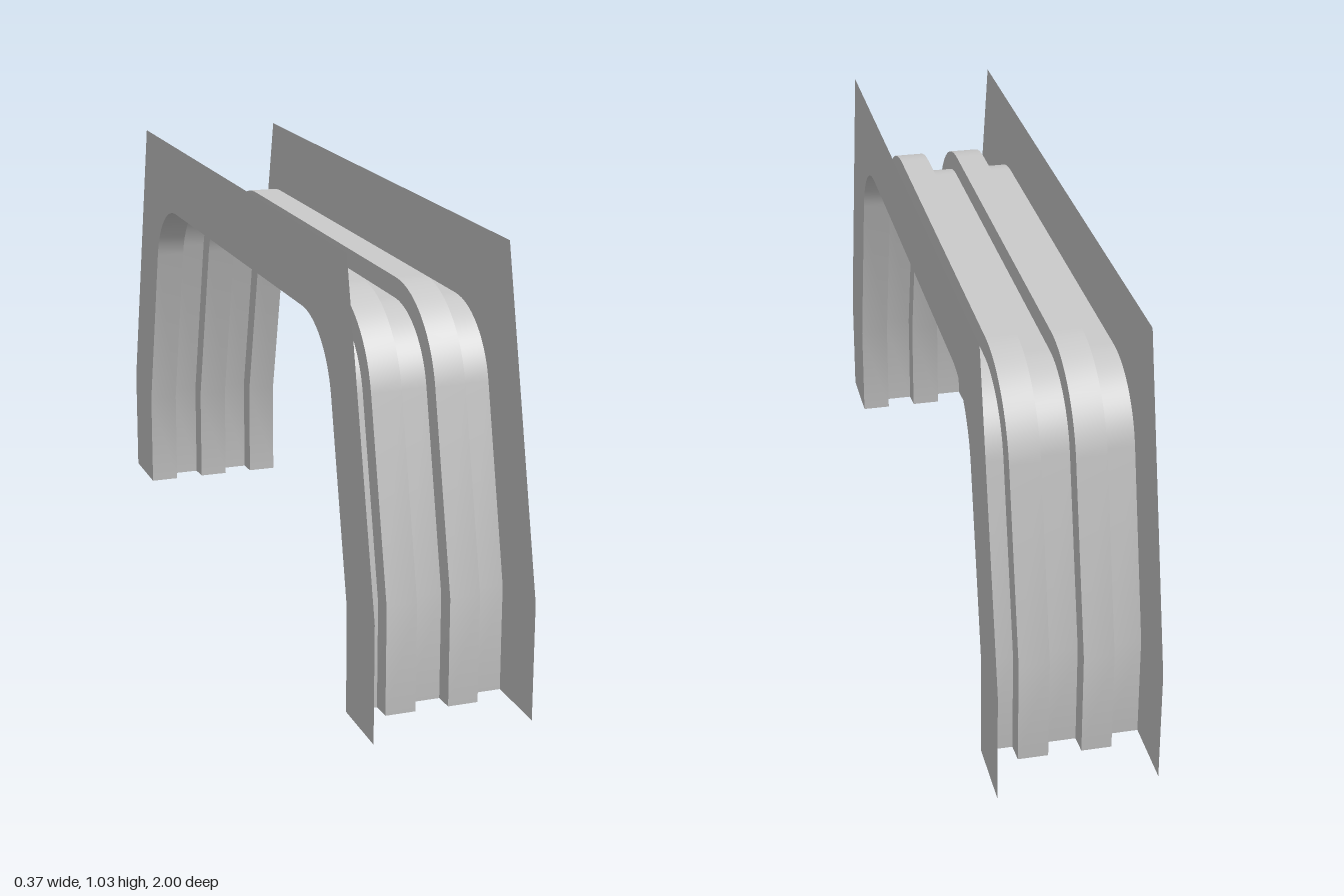
import * as THREE from 'three';

const HALF_WIDTH = 0.185;
const RIB = 0.047;

// Inner arch line as (z, y) points, from the front foot over the top to the back foot
function archPath() {
  const foot = new THREE.Vector2(0.828, 0);
  const knee = new THREE.Vector2(0.828, 0.25);
  const corner = new THREE.Vector2(0.685, 0.853);
  const t = 0.16;
  const start = corner.clone().add(knee.clone().sub(corner).setLength(t));
  const end = new THREE.Vector2(corner.x - t, corner.y);
  const bend = new THREE.CubicBezierCurve(
    start, start.clone().lerp(corner, 0.585), end.clone().lerp(corner, 0.585), end);
  const half = [foot, knee, ...bend.getPoints(14)];
  return [...half, ...half.map(p => new THREE.Vector2(-p.x, p.y)).reverse()];
}

// Outward mitred offset of an open path
function offsetPath(path, d) {
  const normal = i => {
    const s = path[i + 1].clone().sub(path[i]).normalize();
    return new THREE.Vector2(s.y, -s.x);
  };
  return path.map((p, i) => {
    const a = normal(Math.max(i - 1, 0));
    const b = normal(Math.min(i, path.length - 2));
    const m = a.clone().add(b).normalize();
    return p.clone().addScaledVector(m, d / m.dot(a));
  });
}

// Smooth band swept along the arch between two section points [x, offset]
function band(path, [xa, da], [xb, db]) {
  const pa = offsetPath(path, da), pb = offsetPath(path, db);
  const pos = [], index = [];
  path.forEach((_, i) => {
    pos.push(xa, pa[i].y, pa[i].x, xb, pb[i].y, pb[i].x);
    if (i < path.length - 1) {
      const k = i * 2;
      index.push(k, k + 1, k + 3, k, k + 3, k + 2);
    }
  });
  const geo = new THREE.BufferGeometry();
  geo.setAttribute('position', new THREE.Float32BufferAttribute(pos, 3));
  geo.setIndex(index);
  geo.computeVertexNormals();
  return geo;
}

export function createModel() {
  const group = new THREE.Group();
  const material = new THREE.MeshStandardMaterial({ color: 0xcccccc, side: THREE.DoubleSide });
  const add = (parent, name, geo) => {
    const mesh = new THREE.Mesh(geo, material);
    mesh.name = name;
    parent.add(mesh);
    return mesh;
  };
  const path = archPath();

  // Corrugated sheet with two raised ribs
  const sheet = new THREE.Group();
  sheet.name = 'ribbedSheet';
  group.add(sheet);
  const section = [
    [-HALF_WIDTH, 0], [-0.112, 0], [-0.11, RIB], [-0.039, RIB], [-0.037, 0],
    [0.037, 0], [0.039, RIB], [0.11, RIB], [0.112, 0], [HALF_WIDTH, 0],
  ];
  for (let i = 0; i < section.length - 1; i++) {
    const [a, b] = [section[i], section[i + 1]];
    const name = a[1] !== b[1] ? 'ribWall' : a[1] ? 'ribFace' : 'channelFace';
    add(sheet, name, band(path, a, b));
  }

  // Thin side plates between the arch line and the angular outer outline
  const outer = [[-1, 0], [-1, 0.275], [-0.815, 1.035], [0.815, 1.035], [1, 0.275], [1, 0]];
  const shape = new THREE.Shape([...path, ...outer.map(p => new THREE.Vector2(...p))]);
  for (const side of [-1, 1]) {
    const geo = new THREE.ShapeGeometry(shape);
    geo.rotateY(side * Math.PI / 2);
    add(group, side < 0 ? 'rightSidePlate' : 'leftSidePlate', geo).position.x = side * HALF_WIDTH;
  }
  return group;
}
